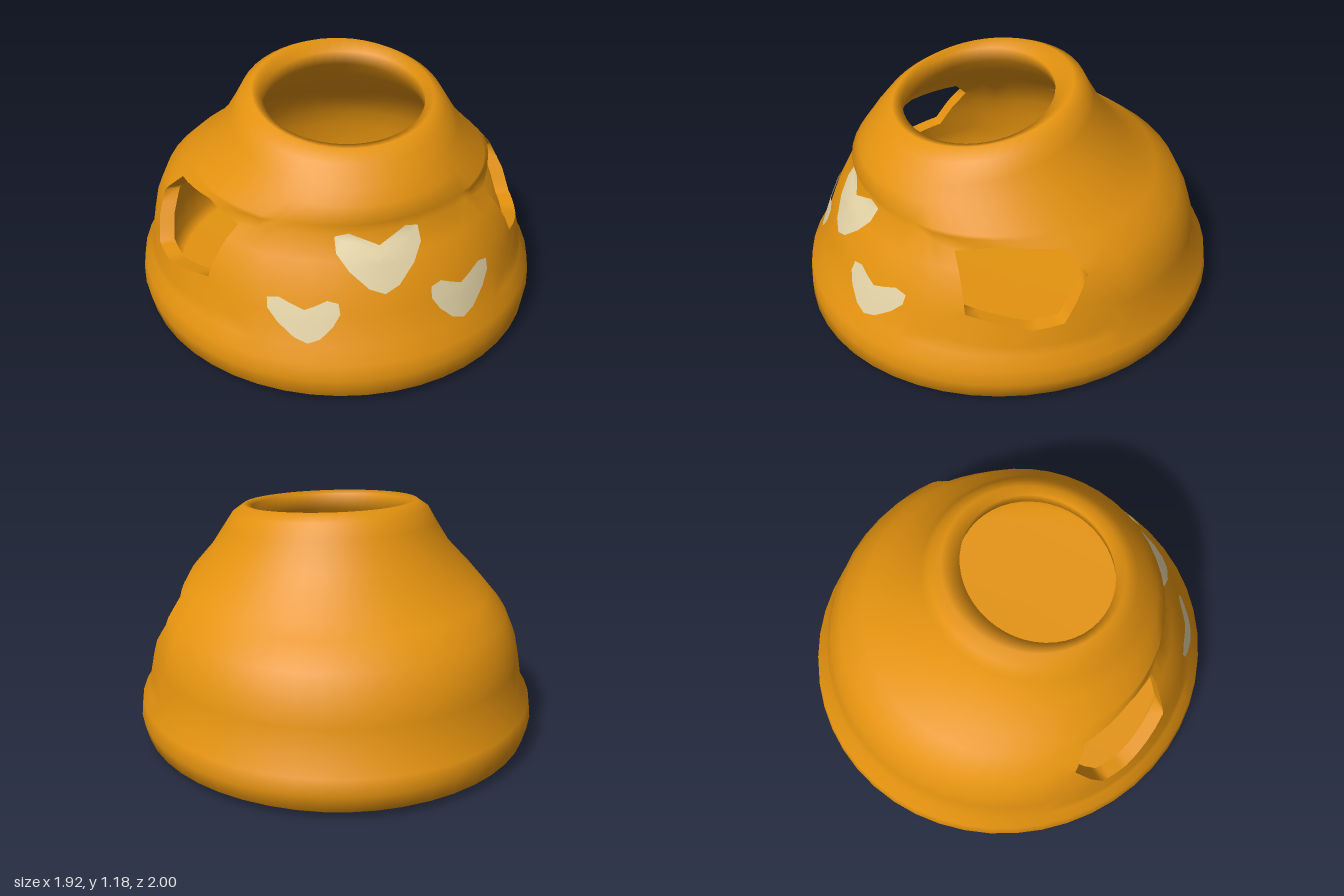
import * as THREE from 'three';

const N = 48;               // columns around the shell
const C0 = 5, C1 = 14;      // columns framing each side window
const R0 = 6, R1 = 11;      // outer rows framing each side window

// Cross-sections: [height, half width, front z, back z, forward tilt]
const outer = [
  [0, 0, 0, 0, 0],
  [0, 0.82, 0.88, -0.87, 0],
  [0.008, 0.89, 0.95, -0.93, 0],
  [0.04, 0.94, 1.0, -0.98, 0],
  [0.12, 0.96, 1.0, -1.0, 0],
  [0.2, 0.95, 0.99, -0.99, 0],
  [0.26, 0.915, 0.94, -0.93, 0],
  [0.4, 0.89, 0.89, -0.91, 0],
  [0.5, 0.87, 0.85, -0.88, 0],
  [0.62, 0.82, 0.79, -0.82, 0],
  [0.72, 0.74, 0.72, -0.7, 0],
  [0.78, 0.69, 0.75, -0.6, 0],
  [0.9, 0.58, 0.72, -0.46, 0.08],
  [1.0, 0.52, 0.68, -0.385, 0.16],
  [1.075, 0.475, 0.61, -0.35, 0.16],
  [1.115, 0.42, 0.55, -0.29, 0.16],
];
const inset = (r) => [r[0], r[1] - 0.07, r[2] - 0.07, r[3] + 0.07, r[4]];
const lip = [
  [1.1, 0.375, 0.5, -0.2, 0.16],
  [1.02, 0.38, 0.51, -0.22, 0.16],
  [0.92, 0.46, 0.58, -0.34, 0.08],
];
const IR = outer.length + lip.length;   // first inner row, level with R1
const rows = [
  ...outer, ...lip,
  ...outer.slice(R0, R1 + 1).reverse().map(inset),
  [0.1, 0.84, 0.86, -0.86, 0],
  [0.08, 0.78, 0.8, -0.8, 0],
  [0.08, 0, 0, 0, 0],
];

// Section at a fractional row, and the point on it at an angle
function section(s) {
  const j = Math.min(Math.floor(s), rows.length - 2), f = s - j;
  return rows[j].map((v, k) => v + (rows[j + 1][k] - v) * f);
}
function surface(angle, s, grow = 0) {
  const [y, rx, zf, zb, tilt] = section(s);
  const z = (zf + zb) / 2 + ((zf - zb) / 2 + grow) * Math.cos(angle);
  return [(rx + grow) * Math.sin(angle), y - tilt * (z - 0.12), z];
}
// Fractional row for a height, on the outer or the inner wall
function rowAt(y, inner) {
  let j = 2;
  while (j < R1 - 1 && outer[j + 1][0] < y) j++;
  const s = j + (y - outer[j][0]) / (outer[j + 1][0] - outer[j][0]);
  return inner ? IR + R1 - s : s;
}

// Window outline in z, y, with each edge divided in four
const corners = [[0.49, 0.45], [0.22, 0.385], [0.08, 0.4], [-0.05, 0.6], [0.03, 0.71], [0.3, 0.74], [0.48, 0.7]];
const windowLoop = corners.flatMap((a, i) => {
  const b = corners[(i + 1) % corners.length];
  return [0, 0.25, 0.5, 0.75].map((f) => [a[0] + (b[0] - a[0]) * f, a[1] + (b[1] - a[1]) * f]);
});
// Grid frame around a window, in the same order as windowLoop
const frame = [];
for (let i = C0; i < C1; i++) frame.push([i, R0]);
for (let j = R0; j < R1; j++) frame.push([C1, j]);
for (let i = C1; i > C0; i--) frame.push([i, R1]);
for (let j = R1; j > R0; j--) frame.push([C0, j]);

function makeGeometry(points, index) {
  const g = new THREE.BufferGeometry();
  g.setAttribute('position', new THREE.Float32BufferAttribute(points.flat(), 3));
  g.setIndex(index);
  g.computeVertexNormals();
  return g;
}
const quad = (index, a, b, c, d, flip) =>
  flip ? index.push(a, c, b, a, d, c) : index.push(a, b, c, a, c, d);

// Hollow wall running up the outside, over the rim and down the inside
function buildShell() {
  const points = [], index = [], windows = [];
  const id = (i, j) => j * N + ((i + N) % N);
  for (let j = 0; j < rows.length; j++)
    for (let i = 0; i < N; i++) points.push(surface((i / N) * Math.PI * 2, j));
  const inFrame = (i) => (i >= C0 && i < C1) || (i >= N - C1 && i < N - C0);
  for (let j = 0; j < rows.length - 1; j++) {
    const windowRow = (j >= R0 && j < R1) || (j >= IR && j < IR + R1 - R0);
    for (let i = 0; i < N; i++)
      if (!(windowRow && inFrame(i)))
        quad(index, id(i, j), id(i + 1, j), id(i + 1, j + 1), id(i, j + 1));
  }
  // Fill between the frame and the window edge on both walls and both sides
  for (const side of [1, -1]) {
    const edges = [false, true].map((inner) => {
      const rings = [frame.map(([i, j]) => id(side * i, inner ? IR + R1 - j : j))];
      for (const f of [0.35, 0.7, 1]) {
        rings.push(windowLoop.map(([z, y], k) => {
          const s1 = rowAt(y, inner), [, , zf, zb] = section(s1);
          const a1 = Math.acos((z - (zf + zb) / 2) / ((zf - zb) / 2));
          const a0 = (frame[k][0] / N) * Math.PI * 2;
          const s0 = inner ? IR + R1 - frame[k][1] : frame[k][1];
          points.push(surface(side * (a0 + (a1 - a0) * f), s0 + (s1 - s0) * f));
          return points.length - 1;
        }));
      }
      const n = frame.length;
      for (let r = 0; r < rings.length - 1; r++)
        for (let k = 0; k < n; k++) {
          const m = (k + 1) % n;
          quad(index, rings[r][k], rings[r][m], rings[r + 1][m], rings[r + 1][k], inner !== (side < 0));
        }
      return rings[rings.length - 1].map((v) => points[v]);
    });
    windows.push({ side, edges });
  }
  return { geometry: makeGeometry(points, index), windows };
}

// Thickness of the wall around a window
function windowReveal({ side, edges }) {
  const n = edges[0].length, index = [];
  for (let k = 0; k < n; k++) {
    const m = (k + 1) % n;
    quad(index, k, m, n + m, n + k, side < 0);
  }
  return makeGeometry([...edges[0], ...edges[1]], index);
}

// Thin patch that follows a surface; the outline is star-shaped about its centre
function patch(outline, center, project) {
  const points = [], index = [], n = outline.length, steps = 6;
  for (let r = 0; r <= steps; r++)
    for (const p of outline)
      points.push(project(...p.map((v, k) => center[k] + ((v - center[k]) * r) / steps)));
  for (let r = 0; r < steps; r++)
    for (let k = 0; k < n; k++) {
      const m = (k + 1) % n;
      quad(index, r * n + k, (r + 1) * n + k, (r + 1) * n + m, r * n + m);
    }
  return makeGeometry(points, index);
}
const onFront = (x, y) => {
  const s = rowAt(y, false);
  return surface(Math.asin(x / section(s)[1]), s, 0.008);
};
const onInside = (angle, y) => surface(angle, rowAt(y, true), -0.008);

const heartHalf = [[0.35, 0.12], [0.75, 0.42], [0.98, 0.7], [0.96, 0.94], [0.65, 1], [0.33, 0.88]];
const heart = [[0, 0.01], ...heartHalf, [0, 0.77], ...heartHalf.map(([x, y]) => [-x, y]).reverse()];

export function createModel() {
  const orange = new THREE.MeshStandardMaterial({ color: 0xe5930f });
  orange.name = 'orange glaze';
  const cream = new THREE.MeshStandardMaterial({ color: 0xe2d2a6, side: THREE.DoubleSide });
  cream.name = 'cream paint';
  const model = new THREE.Group();
  model.name = 'lanternPot';
  const add = (name, geometry, material) => {
    const mesh = new THREE.Mesh(geometry, material);
    mesh.name = name;
    model.add(mesh);
  };

  const { geometry, windows } = buildShell();
  add('shell', geometry, orange);
  for (const w of windows) add(w.side > 0 ? 'leftWindowEdge' : 'rightWindowEdge', windowReveal(w), orange);

  // Painted hearts: centre x, bottom, half width, height
  const hearts = { middleHeart: [-0.005, 0.48, 0.195, 0.25], rightHeart: [-0.355, 0.28, 0.15, 0.19], leftHeart: [0.365, 0.28, 0.16, 0.2] };
  for (const [name, [x, y, w, h]] of Object.entries(hearts))
    add(name, patch(heart.map(([u, v]) => [x + u * w, y + v * h]), [x, y + h * 0.5], onFront), cream);

  // Paint splash on the inner back wall
  const splash = [];
  for (let k = 0; k < 10; k++) {
    const a = (k / 10) * Math.PI * 2, r = k % 2 ? 0.55 : 1;
    splash.push([3.75 + 0.3 * r * Math.cos(a), 0.65 + 0.1 * r * Math.sin(a)]);
  }
  add('innerSplash', patch(splash, [3.75, 0.65], onInside), cream);
  return model;
}
